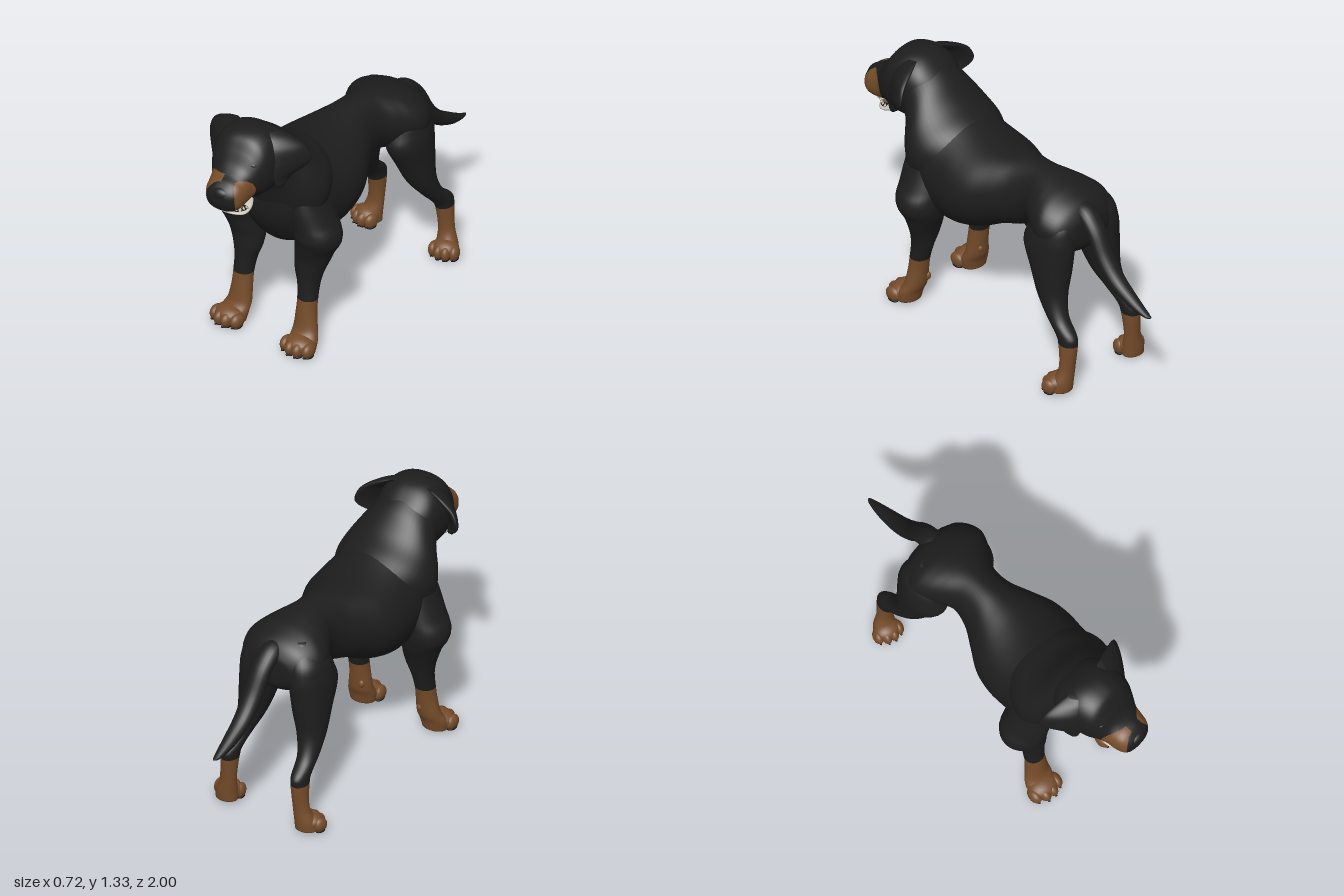
import * as THREE from 'three';

const mat = (name, color) => {
  const m = new THREE.MeshStandardMaterial({ color });
  m.name = name;
  return m;
};

// Catmull-Rom interpolation of number rows, passing through every row
function refine(rows, sub) {
  const out = [];
  for (let i = 0; i < rows.length - 1; i++) {
    const a = rows[Math.max(i - 1, 0)], b = rows[i], c = rows[i + 1], d = rows[Math.min(i + 2, rows.length - 1)];
    for (let k = 0; k < sub; k++) {
      const t = k / sub;
      out.push(b.map((v, j) => v + 0.5 * t * (c[j] - a[j] + t * (2 * a[j] - 5 * v + 4 * c[j] - d[j] + t * (3 * (v - c[j]) + d[j] - a[j])))));
    }
  }
  out.push(rows[rows.length - 1]);
  return out;
}

// Cross-section in a plane containing x: [x, zA, yA, zB, yB, halfWidth]
const section = ([x, zA, yA, zB, yB, w], c, s) =>
  [x + w * c, (yA + yB) / 2 + (yA - yB) / 2 * s, (zA + zB) / 2 + (zA - zB) / 2 * s];
// Upright section shorthand: [z, bottom, top, halfWidth]
const upright = (x, rows) => rows.map(([z, b, t, w]) => [x, z, t, z, b, w]);
// Level section shorthand: [y, zFront, zBack, x, halfWidth]
const level = (side, rows) => rows.map(([y, f, b, x, w]) => [side * x + 0.008, f, y, b, y, w]);

// Closed smooth skin over cross-sections; isPainted picks faces for the second material
function loft(rows, { seg = 36, sub = 6, ring = section, power = 1, isPainted = null } = {}) {
  const list = refine(rows, sub), pos = [], faces = [];
  const soft = v => Math.sign(v) * Math.pow(Math.abs(v), power);
  for (const r of list) {
    for (let j = 0; j < seg; j++) {
      const a = j / seg * Math.PI * 2;
      pos.push(ring(r, soft(Math.cos(a)), soft(Math.sin(a))));
    }
  }
  const n = list.length;
  for (let i = 0; i < n - 1; i++) {
    for (let j = 0; j < seg; j++) {
      const a = i * seg + j, b = i * seg + (j + 1) % seg;
      faces.push([a, b, b + seg], [a, b + seg, a + seg]);
    }
  }
  const first = pos.length;
  pos.push(ring(list[0], 0, 0), ring(list[n - 1], 0, 0));
  for (let j = 0; j < seg; j++) {
    const k = (j + 1) % seg, e = (n - 1) * seg;
    faces.push([first, k, j], [first + 1, e + j, e + k]);
  }
  // turn faces outward using the signed volume
  const v = pos.map(p => new THREE.Vector3(...p));
  const o = v[first];
  let vol = 0;
  for (const [a, b, c] of faces) {
    vol += v[a].clone().sub(o).dot(v[b].clone().sub(o).cross(v[c].clone().sub(o)));
  }
  if (vol < 0) faces.forEach(f => f.reverse());
  const geo = new THREE.BufferGeometry();
  geo.setAttribute('position', new THREE.Float32BufferAttribute(pos.flat(), 3));
  if (isPainted) {
    const mid = f => v[f[0]].clone().add(v[f[1]]).add(v[f[2]]).divideScalar(3);
    const plain = faces.filter(f => !isPainted(mid(f))), painted = faces.filter(f => isPainted(mid(f)));
    geo.setIndex([...plain, ...painted].flat());
    geo.addGroup(0, plain.length * 3, 0);
    geo.addGroup(plain.length * 3, painted.length * 3, 1);
  } else geo.setIndex(faces.flat());
  geo.computeVertexNormals();
  return geo;
}

export function createModel() {
  const black = mat('black coat', 0x1d1d1d);
  const tan = mat('tan markings', 0x754c2a);
  const dark = mat('paw pads and mouth', 0x151515);
  const cream = mat('teeth and jaw', 0xc8c2b6);
  const model = new THREE.Group();
  model.name = 'dog';

  const add = (parent, name, geo, material) => {
    const m = new THREE.Mesh(geo, material);
    m.name = name;
    parent.add(m);
    return m;
  };
  const ball = (parent, name, material, p, r) => {
    const m = add(parent, name, new THREE.SphereGeometry(1, 20, 14), material);
    m.position.set(...p);
    m.scale.set(...r);
    return m;
  };

  // Torso, neck and tail
  add(model, 'torso', loft(upright(0.018, [
    [-0.555, 0.8, 0.89, 0.06], [-0.545, 0.75, 0.93, 0.13], [-0.5, 0.71, 0.985, 0.2], [-0.42, 0.7, 1.025, 0.235],
    [-0.35, 0.7, 1.045, 0.22], [-0.28, 0.715, 1.058, 0.18], [-0.2, 0.72, 1.065, 0.14], [-0.1, 0.67, 1.065, 0.153],
    [0, 0.635, 1.055, 0.205], [0.1, 0.58, 1.05, 0.258], [0.2, 0.54, 1.06, 0.278], [0.3, 0.52, 1.085, 0.275],
    [0.4, 0.53, 1.12, 0.265], [0.5, 0.565, 1.12, 0.235], [0.57, 0.66, 1.04, 0.175], [0.6, 0.74, 0.96, 0.12],
    [0.61, 0.81, 0.89, 0.05],
  ]), { seg: 48 }), black);
  add(model, 'neck', loft([
    [0.015, 0.2, 1.04, 0.5, 0.62, 0.24], [0.015, 0.3, 1.088, 0.57, 0.7, 0.28], [0.015, 0.4, 1.14, 0.605, 0.82, 0.262],
    [0.012, 0.5, 1.235, 0.645, 0.95, 0.2], [0.01, 0.6, 1.3, 0.7, 0.99, 0.165],
  ], { seg: 48 }), black);
  add(model, 'tail', loft([
    [0.02, -0.42, 0.985, -0.45, 0.88, 0.05], [0.025, -0.54, 0.975, -0.515, 0.88, 0.058], [0.03, -0.635, 0.89, -0.57, 0.84, 0.056],
    [0.035, -0.71, 0.76, -0.635, 0.715, 0.053], [0.035, -0.785, 0.67, -0.74, 0.605, 0.047],
    [0.035, -0.885, 0.6, -0.87, 0.54, 0.035], [0.035, -0.97, 0.55, -0.97, 0.525, 0.018], [0.035, -1, 0.54, -1, 0.532, 0.005],
  ], { seg: 20 }), black);
  ball(model, 'sheath', black, [0.015, 0.678, -0.125], [0.026, 0.032, 0.058]).rotation.x = 0.4;

  // Paw: instep, four toes, pads and claws, facing +z around its own centre
  function paw(name, x, z, turn, size) {
    const g = new THREE.Group();
    g.name = name;
    g.position.set(x, 0, z);
    g.rotation.y = turn;
    g.scale.set(size, 1, size);
    model.add(g);
    ball(g, 'instep', tan, [0, 0.058, 0.002], [0.084, 0.046, 0.07]);
    ball(g, 'heelPad', dark, [0, 0.018, -0.015], [0.06, 0.015, 0.05]);
    for (let i = 0; i < 4; i++) {
      const tx = (i - 1.5) * 0.045, tz = Math.abs(i - 1.5) < 1 ? 0.042 : 0.02;
      ball(g, 'toe', tan, [tx, 0.046, tz], [0.03, 0.04, 0.047]);
      ball(g, 'toePad', dark, [tx, 0.015, tz], [0.024, 0.012, 0.034]);
      ball(g, 'claw', dark, [tx, 0.022, tz + 0.038], [0.007, 0.008, 0.01]);
    }
  }

  // Legs with tan lower halves
  const sock = p => p.y < 0.28;
  for (const side of [-1, 1]) {
    const label = side > 0 ? 'left' : 'right';
    add(model, label + 'FrontLeg', loft(level(side, [
      [0.97, 0.5, 0.4, 0.18, 0.03], [0.9, 0.55, 0.36, 0.187, 0.07], [0.82, 0.57, 0.33, 0.197, 0.09],
      [0.74, 0.57, 0.32, 0.217, 0.106], [0.69, 0.567, 0.32, 0.233, 0.119], [0.65, 0.565, 0.32, 0.238, 0.123],
      [0.61, 0.55, 0.327, 0.234, 0.12], [0.56, 0.535, 0.34, 0.217, 0.107], [0.5, 0.52, 0.365, 0.203, 0.097],
      [0.43, 0.52, 0.39, 0.194, 0.079], [0.36, 0.522, 0.41, 0.198, 0.06], [0.28, 0.53, 0.43, 0.202, 0.054],
      [0.2, 0.54, 0.443, 0.203, 0.057], [0.12, 0.553, 0.455, 0.208, 0.067], [0.07, 0.585, 0.475, 0.217, 0.077],
      [0.02, 0.59, 0.487, 0.22, 0.07],
    ]), { seg: 28, isPainted: sock }), [black, tan]);
    ball(model, 'dewclaw', tan, [side * 0.178, 0.16, 0.458], [0.016, 0.022, 0.016]);
    paw(label + 'FrontPaw', side * 0.222 + 0.006, 0.565, side * 0.05, 0.98);

    add(model, label + 'HindLeg', loft(level(side, [
      [0.99, -0.38, -0.46, 0.09, 0.04], [0.9, -0.3, -0.53, 0.128, 0.09], [0.82, -0.265, -0.55, 0.143, 0.102],
      [0.74, -0.25, -0.55, 0.152, 0.103],
      [0.62, -0.31, -0.542, 0.163, 0.092], [0.5, -0.37, -0.537, 0.18, 0.073], [0.4, -0.45, -0.572, 0.2, 0.053],
      [0.33, -0.515, -0.645, 0.21, 0.045], [0.28, -0.545, -0.655, 0.213, 0.044], [0.15, -0.565, -0.642, 0.222, 0.044],
      [0.07, -0.54, -0.64, 0.238, 0.058], [0.02, -0.54, -0.635, 0.242, 0.06],
    ]), { seg: 28, isPainted: sock }), [black, tan]);
    paw(label + 'HindPaw', side * 0.248 + 0.008, -0.562, side * 0.25, 0.84);
  }

  // Head, turned slightly to its left around the neck
  const pivot = new THREE.Group();
  pivot.name = 'head';
  pivot.position.set(0.001, 0, 0.6);
  pivot.rotation.y = 0.13;
  model.add(pivot);
  const head = new THREE.Group();
  head.name = 'headParts';
  head.position.z = -0.6;
  pivot.add(head);
  const cheekPatch = p => {
    const rise = THREE.MathUtils.smoothstep(p.y, 1.07, 1.13);
    const edge = p.x > 0 ? 0.074 - 0.02 * rise : 0.058 - 0.046 * rise;
    const top = p.x > 0 ? 0.085 : 0.1;
    return Math.abs(p.x) > edge && ((p.z - 0.912) / 0.067) ** 2 + ((p.y - 1.053) / top) ** 2 < 1;
  };
  add(head, 'skullAndMuzzle', loft(upright(0, [
    [0.48, 1.05, 1.2, 0.08], [0.55, 0.99, 1.27, 0.15], [0.62, 0.965, 1.318, 0.175], [0.7, 0.96, 1.332, 0.18],
    [0.78, 0.965, 1.31, 0.163], [0.83, 0.985, 1.25, 0.138], [0.87, 0.972, 1.19, 0.116], [0.91, 0.968, 1.155, 0.109],
    [0.95, 0.97, 1.135, 0.1], [0.98, 0.985, 1.11, 0.08], [0.997, 1.02, 1.085, 0.045], [1, 1.04, 1.07, 0.02],
  ]), { seg: 112, sub: 10, power: 0.85, isPainted: cheekPatch }), [black, tan]);
  ball(head, 'nose', black, [0, 1.078, 0.972], [0.052, 0.035, 0.032]);
  // Lower jaw, dark gum, tongue and teeth
  add(head, 'lowerJaw', loft(upright(0, [
    [0.785, 0.945, 0.985, 0.075], [0.82, 0.925, 0.975, 0.09], [0.86, 0.915, 0.955, 0.09], [0.89, 0.918, 0.945, 0.075],
    [0.91, 0.926, 0.942, 0.045], [0.917, 0.932, 0.939, 0.02],
  ])), cream);
  ball(head, 'gum', dark, [0, 0.948, 0.85], [0.083, 0.014, 0.067]);
  ball(head, 'tongue', tan, [0.01, 0.96, 0.868], [0.05, 0.016, 0.05]);
  for (let i = -5; i <= 5; i++) {
    const a = i / 5 * 1.45, big = Math.abs(i) === 3 ? 1.4 : 1;
    const tooth = add(head, 'tooth', new THREE.ConeGeometry(0.009 * big, 0.022 * big, 8), cream);
    tooth.position.set(Math.sin(a) * 0.075, 0.958, 0.845 + Math.cos(a) * 0.064);
    const upper = add(head, 'upperTooth', new THREE.ConeGeometry(0.009 * big, 0.022 * big, 8), cream);
    upper.rotation.x = Math.PI;
    upper.position.set(Math.sin(a) * 0.065, 0.97, 0.87 + Math.cos(a) * 0.075);
  }
  // Lids and hanging ears
  const earRing = ([xF, zF, xB, zB, y, t], c, s) => {
    const dx = xB - xF, dz = zB - zF, l = Math.hypot(dx, dz);
    return [(xF + xB) / 2 + dx / 2 * c + dz / l * t * s, y, (zF + zB) / 2 + dz / 2 * c - dx / l * t * s];
  };
  for (const side of [-1, 1]) {
    const label = side > 0 ? 'left' : 'right';
    ball(head, label + 'EyeLid', black, [side * 0.09, 1.195, 0.825], [0.03, 0.016, 0.02]);
    add(head, label + 'Ear', loft([
      [0.05, 0.71, 0.12, 0.63, 1.31, 0.02], [0.085, 0.72, 0.19, 0.61, 1.285, 0.028], [0.13, 0.735, 0.258, 0.59, 1.24, 0.026],
      [0.155, 0.745, 0.288, 0.58, 1.175, 0.02], [0.166, 0.748, 0.27, 0.595, 1.13, 0.017],
      [0.172, 0.748, 0.215, 0.64, 1.085, 0.015], [0.178, 0.742, 0.202, 0.68, 1.055, 0.012], [0.185, 0.73, 0.195, 0.7, 1.037, 0.006],
    ].map(([a, b, c, ...r]) => [side * a, b, side * c, ...r]), { ring: earRing, seg: 28 }), black);
  }
  return model;
}
